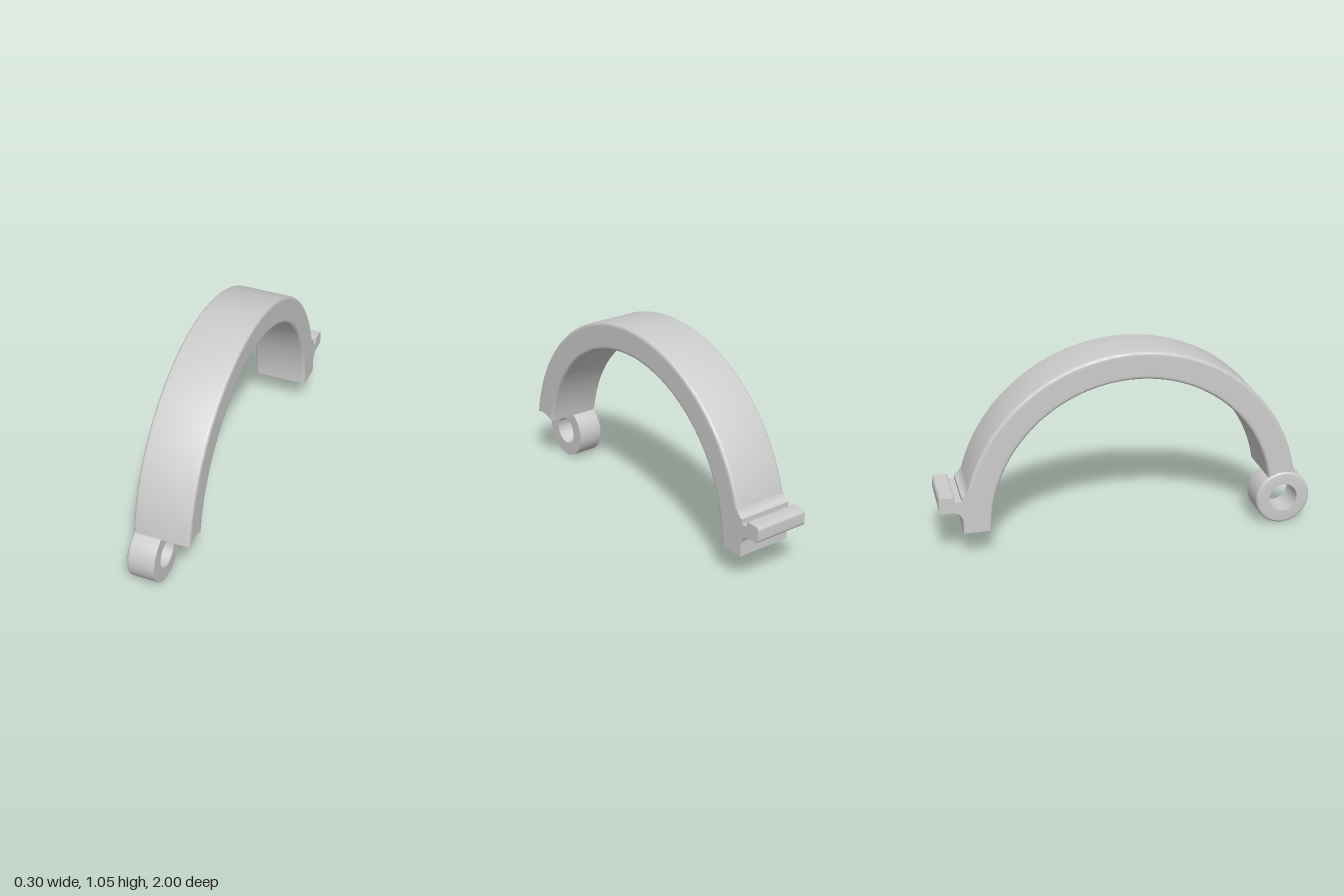
import * as THREE from 'three';
import { toCreasedNormals } from 'three/addons/utils/BufferGeometryUtils.js';

const HALF = 0.15;                 // half width along x
const CY = 0.155, CZ = 0.02;       // arch centre
const R_IN = 0.755, R_OUT = 0.90;  // arch radii
const KNUCKLE_Z = 0.85, KNUCKLE_R = 0.15, HOLE_R = 0.078;
const FILLET = 0.015;

const material = new THREE.MeshStandardMaterial({ color: 0xcccccc });

function part(name, geometry) {
  const mesh = new THREE.Mesh(toCreasedNormals(geometry, 0.6), material);
  mesh.name = name;
  return mesh;
}

// Half arch with filleted edges; its front end is scooped to fit the knuckle
function archGeometry() {
  const side = [];                 // [radius, x] from the inner to the outer face
  const corner = (r, from) => {
    for (let k = 0; k <= 4; k++) {
      const t = from + (k / 4) * Math.PI / 2;
      side.push([r - FILLET * Math.cos(t), HALF - FILLET + FILLET * Math.sin(t)]);
    }
  };
  corner(R_IN + FILLET, 0);
  for (let k = 1; k < 10; k++) {
    side.push([THREE.MathUtils.lerp(R_IN + FILLET, R_OUT - FILLET, k / 10), HALF]);
  }
  corner(R_OUT - FILLET, Math.PI / 2);
  const loop = [...side, ...side.map(([r, x]) => [r, -x]).reverse()];

  const n = loop.length, steps = 96, d = KNUCKLE_Z - CZ;
  const pos = [], idx = [];
  for (let i = 0; i <= steps; i++) {
    for (const [r, x] of loop) {
      const start = Math.acos((r * r + d * d - KNUCKLE_R ** 2) / (2 * r * d));
      const a = THREE.MathUtils.lerp(start, Math.PI, i / steps);
      pos.push(x, CY + r * Math.sin(a), CZ + r * Math.cos(a));
    }
  }
  for (let i = 0; i < steps; i++) {
    for (let j = 0; j < n; j++) {
      const a = i * n + j, b = i * n + (j + 1) % n;
      idx.push(a, a + n, b, b, a + n, b + n);
    }
  }
  // end caps, strip by strip across the width
  const last = steps * n;
  for (let j = 0; j < side.length - 1; j++) {
    const m = n - 1 - j;
    idx.push(j, j + 1, m, j + 1, m - 1, m);
    idx.push(last + j, last + m, last + j + 1, last + j + 1, last + m, last + m - 1);
  }
  const g = new THREE.BufferGeometry();
  g.setAttribute('position', new THREE.Float32BufferAttribute(pos, 3));
  g.setIndex(idx);
  return g;
}

// Hinge knuckle: bored barrel, filleted on its outer side only
function knuckleGeometry() {
  const pts = [new THREE.Vector2(HOLE_R, 0), new THREE.Vector2(KNUCKLE_R, 0)];
  for (let k = 0; k <= 4; k++) {
    const t = (k / 4) * Math.PI / 2;
    pts.push(new THREE.Vector2(
      KNUCKLE_R - FILLET + FILLET * Math.cos(t),
      HALF - FILLET + FILLET * Math.sin(t)));
  }
  pts.push(new THREE.Vector2(HOLE_R, HALF), new THREE.Vector2(HOLE_R, 0));
  return new THREE.LatheGeometry(pts, 64)
    .rotateZ(Math.PI / 2)
    .translate(0, 0.153, KNUCKLE_Z);
}

// Latch lip: profile in (z, y) with a small groove, extruded over the full width
function latchGeometry() {
  const s = new THREE.Shape();
  s.moveTo(-0.79, CY);
  s.lineTo(-0.79, 0.395);
  s.lineTo(-0.848, 0.395);
  s.quadraticCurveTo(-0.858, 0.368, -0.884, 0.36);
  s.lineTo(-0.884, 0.335);
  s.lineTo(-0.918, 0.335);
  s.lineTo(-0.918, 0.352);
  s.quadraticCurveTo(-0.918, 0.363, -0.93, 0.363);
  s.lineTo(-0.98, 0.363);
  s.quadraticCurveTo(-1.0, 0.363, -1.0, 0.343);
  s.lineTo(-1.0, 0.298);
  s.quadraticCurveTo(-1.0, 0.278, -0.98, 0.278);
  s.lineTo(-0.935, 0.278);
  s.absarc(-0.935, 0.223, 0.055, Math.PI / 2, 0, true);
  s.lineTo(-0.88, CY);
  s.closePath();
  return new THREE.ExtrudeGeometry(s, { depth: 2 * HALF, bevelEnabled: false, curveSegments: 10 })
    .rotateY(-Math.PI / 2)
    .translate(HALF, 0, 0);
}

export function createModel() {
  const group = new THREE.Group();
  group.name = 'hingedClampHalf';
  group.add(
    part('archBand', archGeometry()),
    part('hingeKnuckle', knuckleGeometry()),
    part('latchLip', latchGeometry()));
  return group;
}
